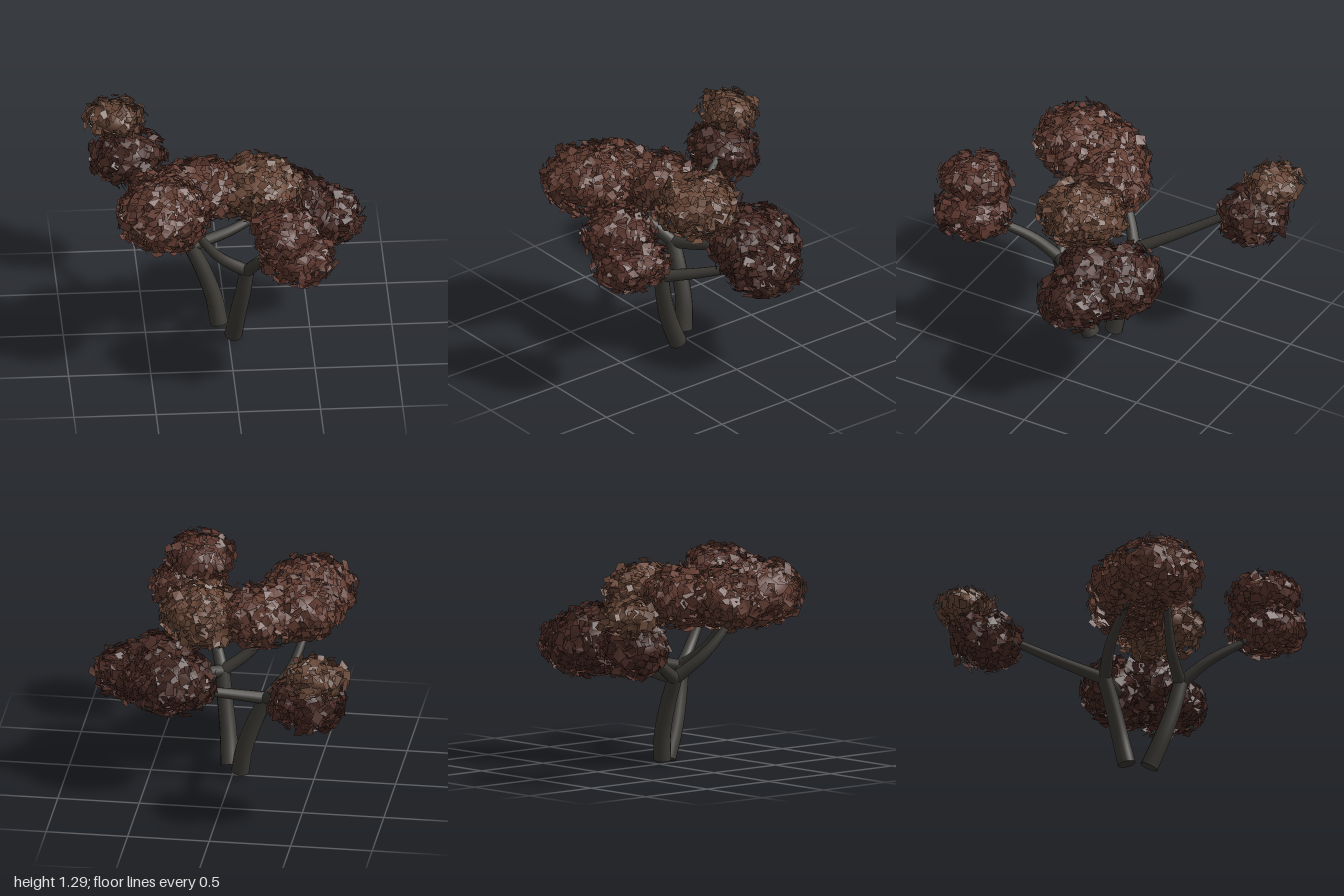
import * as THREE from 'three';

const barkMat = new THREE.MeshStandardMaterial({ color: 0x3d3a35, side: THREE.DoubleSide });

// Seeded random numbers
let seed = 7;
const rnd = () => {
  seed = (seed * 1664525 + 1013904223) % 4294967296;
  return seed / 4294967296;
};
const spread = (s) => (rnd() * 2 - 1) * s;

// Tapered round limb along a smooth curve, with closed ends
function limb(name, points, r0, r1) {
  const curve = new THREE.CatmullRomCurve3(points.map((p) => new THREE.Vector3(...p)));
  const rows = 14, sides = 12;
  const geo = new THREE.TubeGeometry(curve, rows, 1, sides, false);
  const pos = geo.attributes.position, v = new THREE.Vector3();
  for (let i = 0; i < pos.count; i++) {
    const t = Math.floor(i / (sides + 1)) / rows;
    const c = curve.getPointAt(t);
    v.fromBufferAttribute(pos, i).sub(c).multiplyScalar(r0 + (r1 - r0) * t).add(c);
    pos.setXYZ(i, v.x, v.y, v.z);
  }
  const group = new THREE.Group();
  group.name = name;
  group.add(new THREE.Mesh(geo, barkMat));
  for (const [t, r] of [[0, r0], [1, r1]]) {
    const cap = new THREE.Mesh(new THREE.CircleGeometry(r, sides), barkMat);
    cap.position.copy(curve.getPointAt(t));
    cap.lookAt(cap.position.clone().add(curve.getTangentAt(t).multiplyScalar(t ? 1 : -1)));
    group.add(cap);
  }
  return group;
}

// Ragged four-cornered leaves floating just outside an ellipsoid
function leafShell(center, radii, material) {
  const [a, b, c] = radii;
  const area = 4 * Math.PI * Math.pow((Math.pow(a * b, 1.6) + Math.pow(a * c, 1.6) + Math.pow(b * c, 1.6)) / 3, 1 / 1.6);
  const count = Math.round(area * 900);
  const verts = [];
  const dir = new THREE.Vector3(), normal = new THREE.Vector3();
  const q = new THREE.Quaternion(), z = new THREE.Vector3(0, 0, 1);
  for (let i = 0; i < count; i++) {
    const y = 1 - 2 * (i + 0.5) / count, ang = i * 2.39996 + spread(0.8);
    const h = Math.sqrt(1 - y * y);
    dir.set(h * Math.cos(ang), y, h * Math.sin(ang));
    normal.set(dir.x / a, dir.y / b, dir.z / c).normalize();
    const base = new THREE.Vector3(dir.x * a, dir.y * b, dir.z * c)
      .multiplyScalar(0.92)
      .addScaledVector(normal, rnd() * 0.055)
      .add(new THREE.Vector3(...center));
    normal.add(new THREE.Vector3(spread(0.6), spread(0.6), spread(0.6))).normalize();
    q.setFromUnitVectors(z, normal);
    const turn = rnd() * Math.PI * 2, size = 0.023 + rnd() * 0.02;
    const corners = [0, 1, 2, 3].map((k) => {
      const t = turn + k * Math.PI / 2 + spread(0.35), r = size * (0.7 + rnd() * 0.7);
      return new THREE.Vector3(r * Math.cos(t), r * Math.sin(t), spread(0.006)).applyQuaternion(q).add(base);
    });
    for (const k of [0, 1, 2, 0, 2, 3]) verts.push(...corners[k].toArray());
  }
  const geo = new THREE.BufferGeometry();
  geo.setAttribute('position', new THREE.Float32BufferAttribute(verts, 3));
  geo.computeVertexNormals();
  return new THREE.Mesh(geo, material);
}

// Clump of foliage: smooth cores wrapped in leaves
function clump(name, color, blobs) {
  const material = new THREE.MeshStandardMaterial({ color, side: THREE.DoubleSide });
  const group = new THREE.Group();
  group.name = name;
  for (const [center, radii] of blobs) {
    const core = new THREE.Mesh(new THREE.SphereGeometry(1, 24, 16), material);
    core.name = 'foliageCore';
    core.position.set(...center);
    core.scale.set(...radii.map((r) => r * 0.86));
    const leaves = leafShell(center, radii, material);
    leaves.name = 'leaves';
    group.add(core, leaves);
  }
  return group;
}

export function createModel() {
  const tree = new THREE.Group();
  tree.name = 'tree';

  // Two trunks leaning apart from the base
  const forkR = [0.1, 0.56, 0.27], forkL = [-0.22, 0.55, -0.07];
  tree.add(
    limb('frontTrunk', [[0.03, 0.02, 0.09], [0.05, 0.2, 0.17], [0.08, 0.4, 0.235], forkR], 0.056, 0.046),
    limb('backTrunk', [[-0.05, 0.035, -0.02], [-0.08, 0.2, -0.045], [-0.15, 0.4, -0.06], forkL], 0.055, 0.046),
  );

  // Branches from each fork
  const branches = [
    ['frontBranch', forkR, [0.17, 0.7, 0.42], [0.34, 0.88, 0.68]],
    ['sideBranch', forkR, [0.26, 0.6, 0.13], [0.5, 0.68, -0.08]],
    ['crownBranch', forkR, [-0.08, 0.7, 0.32], [-0.25, 0.95, 0.39]],
    ['farBranch', forkL, [-0.34, 0.69, -0.33], [-0.5, 0.88, -0.66]],
    ['crossBranch', forkL, [0.05, 0.61, -0.16], [0.3, 0.69, -0.3]],
    ['innerBranch', forkL, [-0.35, 0.7, 0.05], [-0.44, 0.95, 0.25]],
  ];
  for (const [name, ...points] of branches) tree.add(limb(name, points, 0.04, 0.022));

  // Foliage clumps, each a list of [centre, radii]
  tree.add(
    clump('crownFoliage', 0x633d32, [
      [[-0.42, 1.06, 0.42], [0.26, 0.18, 0.26]],
      [[-0.38, 1.03, 0.2], [0.23, 0.16, 0.2]],
      [[-0.16, 1.03, 0.07], [0.25, 0.15, 0.22]],
    ]),
    clump('middleFoliage', 0x6a4838, [
      [[0.19, 1.02, 0.06], [0.23, 0.16, 0.25]],
    ]),
    clump('frontFoliage', 0x5c372e, [
      [[0.38, 0.92, 0.72], [0.2, 0.12, 0.22]],
      [[0.3, 1.1, 0.75], [0.18, 0.11, 0.21]],
    ]),
    clump('sideFoliage', 0x4a2c25, [
      [[0.59, 0.7, -0.13], [0.21, 0.14, 0.21]],
      [[0.34, 0.73, -0.3], [0.26, 0.17, 0.2]],
      [[0.42, 0.77, -0.14], [0.21, 0.15, 0.2]],
    ]),
    clump('farFoliage', 0x4a2c25, [
      [[-0.56, 0.83, -0.71], [0.21, 0.15, 0.18]],
    ]),
    clump('farTopFoliage', 0x674737, [
      [[-0.63, 1.04, -0.81], [0.15, 0.09, 0.15]],
    ]),
  );
  return tree;
}
